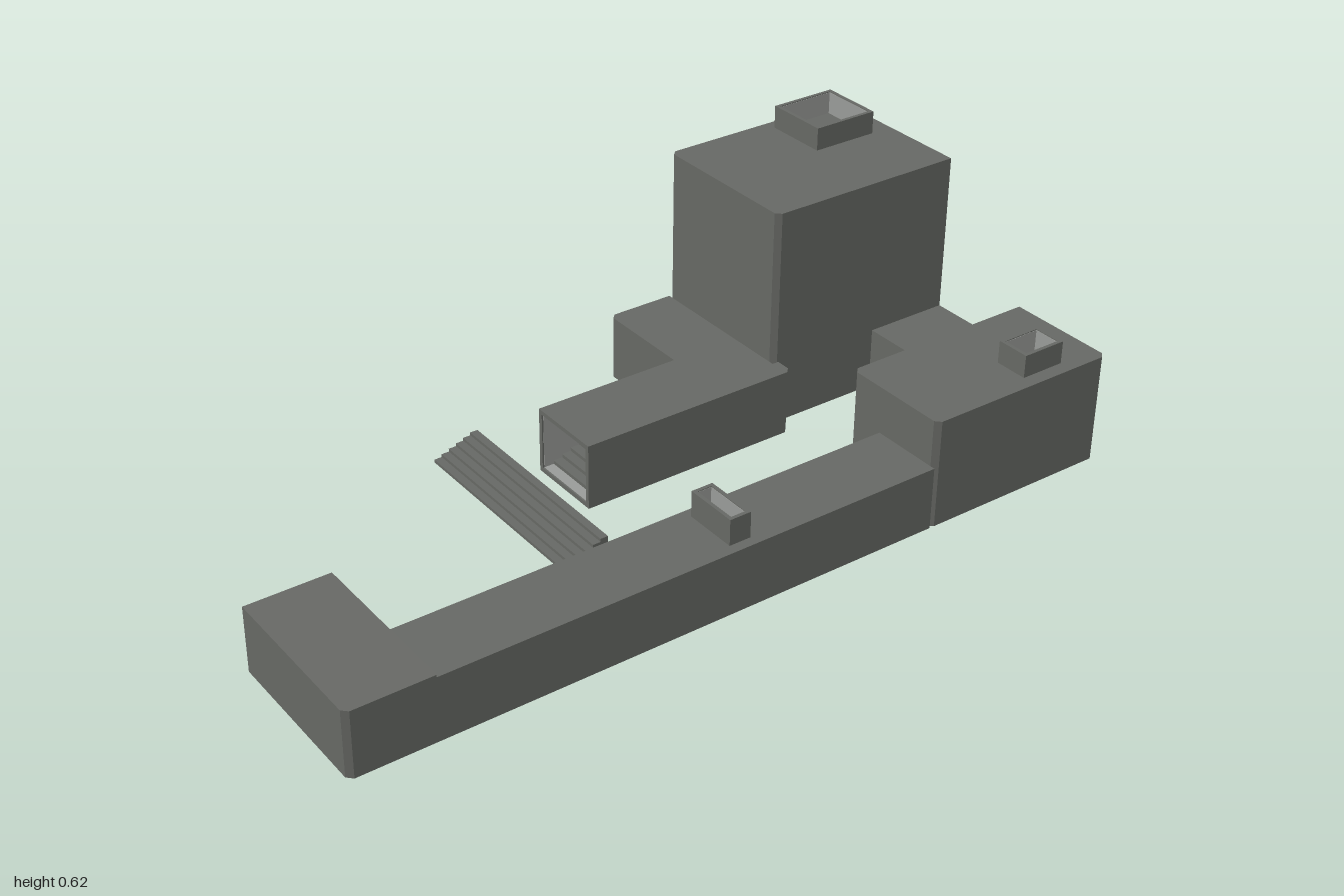
import * as THREE from 'three';

const wall = new THREE.MeshStandardMaterial({ color: 0x666864 });
wall.name = 'concrete grey';
const lining = new THREE.MeshStandardMaterial({ color: 0x999b98 });
lining.name = 'pale lining';

function add(group, name, geometry, material = wall) {
  const mesh = new THREE.Mesh(geometry, material);
  mesh.name = name;
  group.add(mesh);
  return mesh;
}

// Upright block over a footprint of [x, z, corner cut] points
function block(points, y0, y1) {
  const outline = [];
  points.forEach(([x, z, cut], i) => {
    const p = new THREE.Vector2(x, -z);
    if (!cut) return outline.push(p);
    for (const j of [i - 1, i + 1]) {
      const q = points[(j + points.length) % points.length];
      const dir = new THREE.Vector2(q[0], -q[1]).sub(p).normalize();
      outline.push(p.clone().addScaledVector(dir, cut));
    }
  });
  return new THREE.ExtrudeGeometry(new THREE.Shape(outline), { depth: y1 - y0, bevelEnabled: false })
    .rotateX(-Math.PI / 2).translate(0, y0, 0);
}

function box(x0, x1, y0, y1, z0, z1) {
  return new THREE.BoxGeometry(x1 - x0, y1 - y0, z1 - z0)
    .translate((x0 + x1) / 2, (y0 + y1) / 2, (z0 + z1) / 2);
}

// Rectangular pipe along z, centred on x and y
function pipe(w, h, t, depth) {
  const rect = (Type, a, b) => new Type([[-a, -b], [a, -b], [a, b], [-a, b]].map(([x, y]) => new THREE.Vector2(x, y)));
  const shape = rect(THREE.Shape, w / 2, h / 2);
  shape.holes.push(rect(THREE.Path, w / 2 - t, h / 2 - t));
  return new THREE.ExtrudeGeometry(shape, { depth, bevelEnabled: false });
}

// Open shaft with a pale inner face
function shaft(group, name, x0, x1, z0, z1, y0, y1) {
  const w = x1 - x0, d = z1 - z0, h = y1 - y0, t = 0.009;
  const place = (g) => g.rotateX(-Math.PI / 2).translate((x0 + x1) / 2, y0, (z0 + z1) / 2);
  add(group, name, place(pipe(w, d, t, h)));
  add(group, name + 'Lining', place(pipe(w - 2 * t, d - 2 * t, 0.001, h - 0.002)), lining);
}

// Hollow passage, open at z = depth, with low steps rising inward
function passage(name, w, h, depth) {
  const group = new THREE.Group();
  group.name = name;
  const t = 0.011;
  add(group, name + 'Walls', pipe(w, h, t, depth).translate(0, h / 2, 0));
  add(group, name + 'Lining', pipe(w - 2 * t, h - 2 * t, 0.001, depth - 0.004).translate(0, h / 2, 0), lining);
  for (let i = 0; i < 5; i++) {
    const y = t + 0.001 + i * 0.009;
    add(group, name + 'Step', box(-w / 2 + t + 0.001, w / 2 - t - 0.001, y, y + 0.009, 0, depth - 0.03 - i * 0.024));
  }
  return group;
}

export function createModel() {
  const model = new THREE.Group();
  model.name = 'building';
  const c = 0.013;

  // Main volumes
  add(model, 'tower', block([[-0.485, -1, c], [-0.07, -1], [-0.07, -0.47, c], [-0.485, -0.47, c]], 0, 0.56));
  add(model, 'link', box(-0.07, 0.2, 0, 0.158, -1, -0.78));
  add(model, 'sideBlock', block([[0.2, -1], [0.485, -1, c], [0.485, -0.485, c], [0.2, -0.485, c]], 0, 0.275));
  add(model, 'frontWing', block([[-0.485, -0.47], [-0.07, -0.47], [-0.07, -0.487], [-0.02, -0.487, c],
    [-0.02, -0.29], [-0.485, -0.29, c]], 0, 0.167));
  add(model, 'longCorridor', box(0.3, 0.485, 0, 0.158, -0.485, 0.795));
  add(model, 'corridorCorner', block([[0.3, 0.795], [0.485, 0.795], [0.485, 1, c], [0.3, 1]], 0, 0.164));

  // Open passages
  const porch = passage('porch', 0.2, 0.167, 0.385);
  porch.position.set(-0.12, 0, -0.29);
  const hook = passage('hookPassage', 0.205, 0.164, 0.23);
  hook.rotation.y = -Math.PI / 2;
  hook.position.set(0.3, 0, 0.8975);
  model.add(porch, hook);

  // Roof shafts
  shaft(model, 'towerShaft', -0.455, -0.29, -0.94, -0.765, 0.56, 0.618);
  add(model, 'shaftLedge', box(-0.316, -0.3, 0.56, 0.563, -0.89, -0.775), lining);
  shaft(model, 'blockShaft', 0.365, 0.45, -0.89, -0.775, 0.275, 0.332);
  shaft(model, 'corridorShaft', 0.325, 0.46, 0.01, 0.065, 0.158, 0.223);

  // Outdoor stairs rising towards the porch
  const steps = 6;
  const profile = [[0.28, 0], [0.16, 0]];
  for (let i = steps; i > 0; i--) {
    profile.push([0.28 - i * 0.02, i * 0.0078], [0.28 - (i - 1) * 0.02, i * 0.0078]);
  }
  profile.splice(2, 1, [0.16, steps * 0.0078]);
  const stairShape = new THREE.Shape(profile.map(([z, y]) => new THREE.Vector2(-z, y)));
  add(model, 'outdoorStairs', new THREE.ExtrudeGeometry(stairShape, { depth: 0.54, bevelEnabled: false })
    .rotateY(Math.PI / 2).translate(-0.39, 0, 0));
  return model;
}
